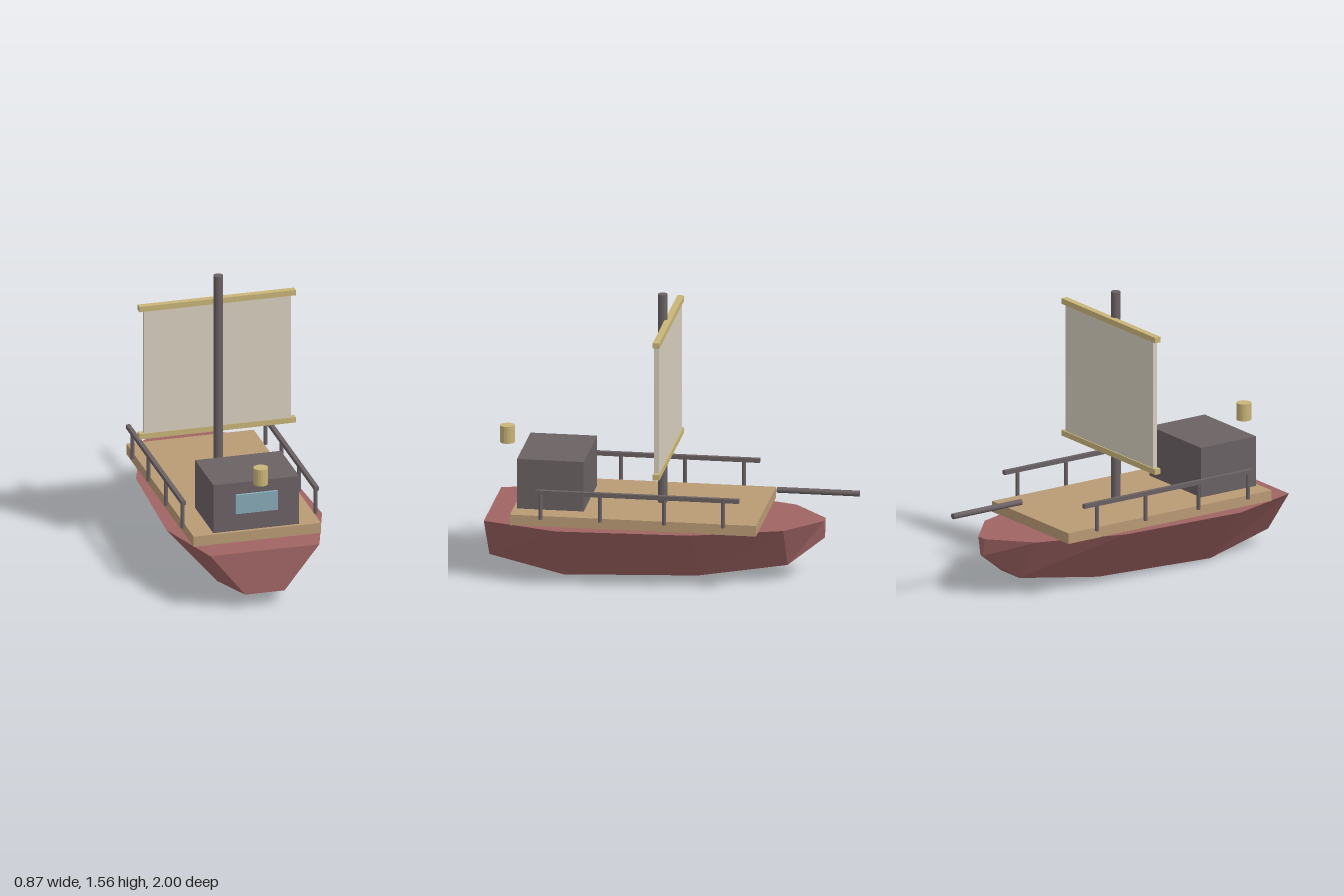
import * as THREE from 'three';

const mat = (color) => new THREE.MeshStandardMaterial({ color, flatShading: true });

export function createModel() {
  const ship = new THREE.Group();
  const red = mat(0xa06464), tan = mat(0xb99a74), dark = mat(0x6a6163);
  const gold = mat(0xc8b478), cloth = mat(0xd6cebe), glass = mat(0x86aab6);

  const add = (name, geometry, material, x, y, z) => {
    const mesh = new THREE.Mesh(geometry, material);
    mesh.name = name;
    mesh.position.set(x, y, z);
    ship.add(mesh);
    return mesh;
  };
  const box = (name, m, w, h, d, x, y, z) => add(name, new THREE.BoxGeometry(w, h, d), m, x, y, z);
  const rod = (name, m, r, h, x, y, z, n = 16) => add(name, new THREE.CylinderGeometry(r, r, h, n), m, x, y, z);

  // Hull: trapezoid sections [z, deck half width, keel half width, keel height]
  const deckY = 0.33;
  const sections = [
    [1, 0.305, 0.11, 0.083],
    [0.59, 0.435, 0.15, 0],
    [-0.14, 0.4, 0.14, 0.025],
    [-0.62, 0.24, 0.084, 0.09],
    [-0.81, 0.03, 0.011, 0.23],
  ];
  const points = [], index = [];
  sections.forEach(([z, top, keel, y]) =>
    points.push(-top, deckY, z, -keel, y, z, keel, y, z, top, deckY, z));
  const quad = (a, b, c, d) => index.push(a, b, c, a, c, d);
  for (let s = 0; s < sections.length - 1; s++) {
    for (let i = 0; i < 4; i++) {
      const a = s * 4 + i, b = s * 4 + (i + 1) % 4;
      quad(a, a + 4, b + 4, b);
    }
  }
  const last = (sections.length - 1) * 4;
  quad(0, 1, 2, 3);
  quad(last + 3, last + 2, last + 1, last);
  const indexed = new THREE.BufferGeometry();
  indexed.setAttribute('position', new THREE.Float32BufferAttribute(points, 3));
  indexed.setIndex(index);
  const hull = indexed.toNonIndexed();
  hull.computeVertexNormals();
  add('hull', hull, red, 0, 0, 0);

  // Deck and cabin
  box('deck', tan, 0.712, 0.06, 1.34, 0, 0.358, 0.18);
  box('cabin', dark, 0.48, 0.28, 0.363, 0, 0.527, 0.648);
  box('cabinWindow', glass, 0.235, 0.11, 0.03, 0, 0.545, 0.83);
  rod('lantern', gold, 0.04, 0.095, 0, 0.733, 0.918, 20);

  // Mast, sail and yards
  rod('mast', dark, 0.026, 1.175, 0, 0.9725, 0.073);
  box('sail', cloth, 0.82, 0.74, 0.026, 0, 1.03, 0.044);
  for (const [name, y] of [['upperYard', 1.403], ['lowerYard', 0.66]]) {
    box(name, gold, 0.874, 0.031, 0.036, 0, y, 0.042);
  }

  // Bowsprit
  rod('bowsprit', dark, 0.016, 0.45, 0, 0.485, -0.775).rotation.x = Math.PI / 2;

  // Railings on both sides
  for (const [label, side] of [['left', 1], ['right', -1]]) {
    const x = side * 0.372;
    box(label + 'Rail', dark, 0.023, 0.023, 1.11, x, 0.528, 0.155);
    for (const z of [0.682, 0.358, 0.008, -0.312]) {
      rod(label + 'RailPost', dark, 0.011, 0.145, x, 0.447, z, 8);
    }
  }
  return ship;
}
